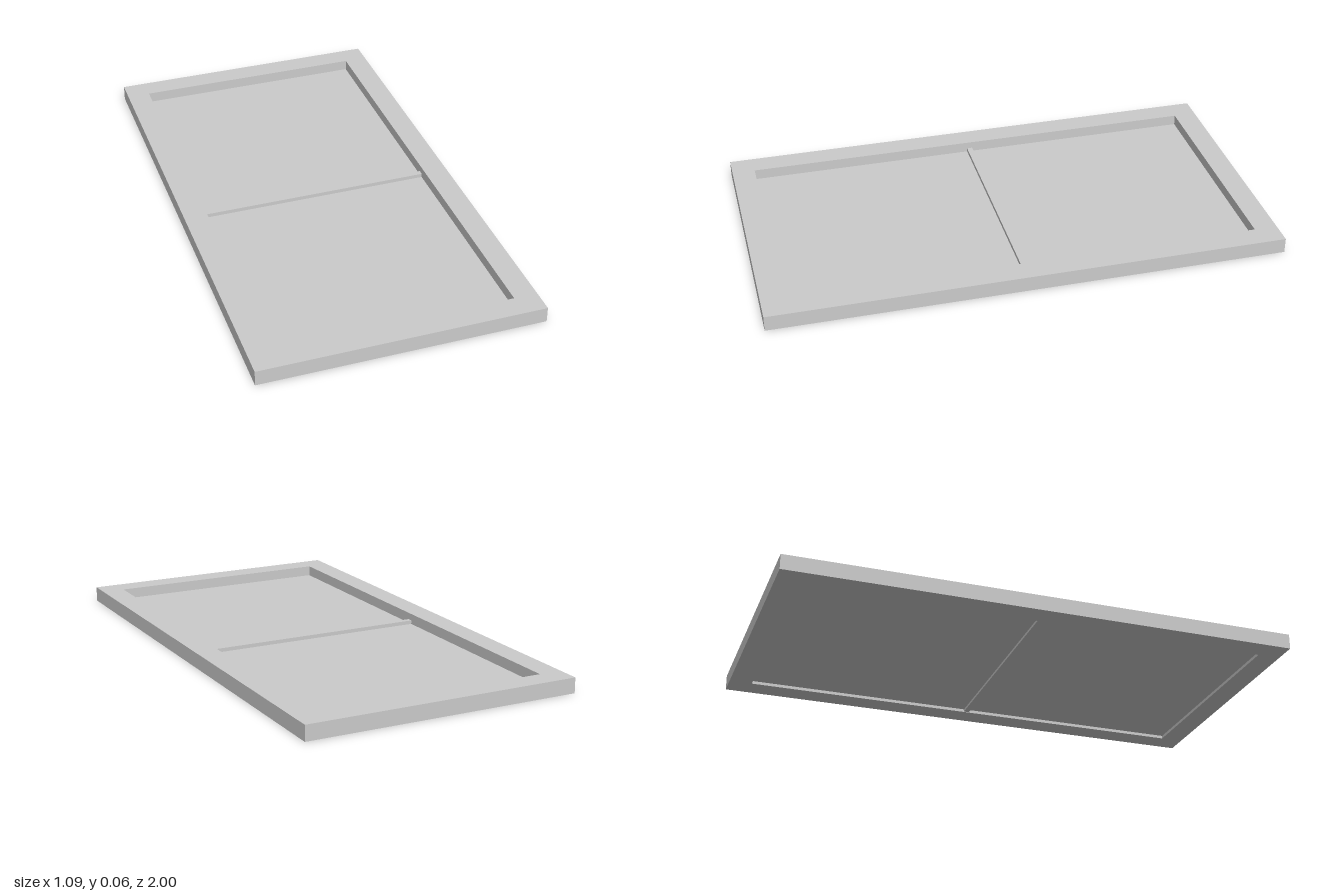
import * as THREE from 'three';

export function createModel() {
  const model = new THREE.Group();
  model.name = 'framedPanel';
  const material = new THREE.MeshStandardMaterial({ color: 0xcccccc });

  const add = (name, geometry) => {
    const mesh = new THREE.Mesh(geometry, material);
    mesh.name = name;
    model.add(mesh);
    return mesh;
  };

  // Box given by its extents along y and z, spanning the opening in x
  const slab = (name, halfX, y0, y1, z0, z1) => {
    const mesh = add(name, new THREE.BoxGeometry(halfX * 2, y1 - y0, z1 - z0));
    mesh.position.set(0, (y0 + y1) / 2, (z0 + z1) / 2);
  };

  const rectangle = (PathType, x, z) => new PathType([
    new THREE.Vector2(-x, -z), new THREE.Vector2(x, -z),
    new THREE.Vector2(x, z), new THREE.Vector2(-x, z),
  ]);

  const innerX = 0.455, innerZ = 0.91;
  const barBack = -0.006, barFront = 0.016;

  // Outer frame in one piece with a rectangular opening
  const outline = rectangle(THREE.Shape, 0.546, 1);
  outline.holes.push(rectangle(THREE.Path, innerX, innerZ));
  const frame = new THREE.ExtrudeGeometry(outline, { depth: 0.06, bevelEnabled: false });
  frame.rotateX(-Math.PI / 2);
  add('frame', frame);

  // Two thin recessed panes
  slab('backPane', innerX, 0.012, 0.018, -innerZ, barBack);
  slab('frontPane', innerX, 0.012, 0.018, barFront, innerZ);

  // Narrow bar between the panes
  slab('dividerBar', innerX, 0.002, 0.033, barBack, barFront);

  return model;
}
